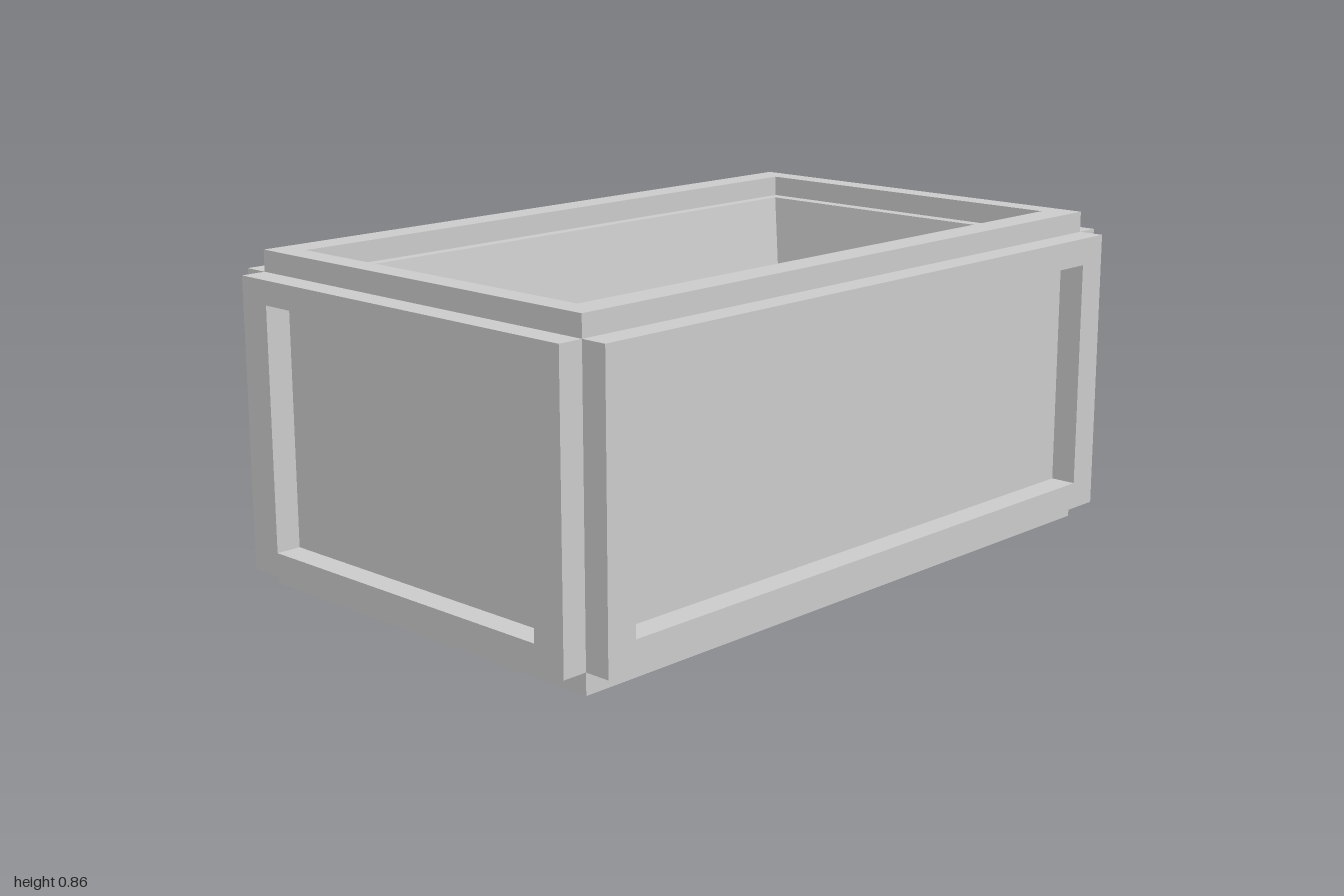
import * as THREE from 'three';

const material = new THREE.MeshStandardMaterial({ color: 0xcccccc, flatShading: true });

// Core body extents: half width, half depth, bottom and top
const HX = 0.933, HZ = 0.56, Y0 = 0.055, Y1 = 0.802;
const MID = (Y0 + Y1) / 2, HY = (Y1 - Y0) / 2;

function rect(path, hw, hh) {
  path.moveTo(-hw, -hh);
  path.lineTo(hw, -hh);
  path.lineTo(hw, hh);
  path.lineTo(-hw, hh);
  path.closePath();
  return path;
}

// Rectangular frame with a rectangular opening, facing +z from its origin
function frame(name, hw, hh, holeW, holeH, depth) {
  const shape = rect(new THREE.Shape(), hw, hh);
  shape.holes.push(rect(new THREE.Path(), holeW, holeH));
  const geometry = new THREE.ExtrudeGeometry(shape, { depth, bevelEnabled: false });
  const mesh = new THREE.Mesh(geometry, material);
  mesh.name = name;
  return mesh;
}

// Skin through rectangular sections [halfX, halfZ, y], capped at both ends
function rectLoft(sections) {
  const positions = [], index = [];
  for (const [x, z, y] of sections) {
    positions.push(-x, y, z, x, y, z, x, y, -z, -x, y, -z);
  }
  for (let s = 0; s < sections.length - 1; s++) {
    for (let i = 0; i < 4; i++) {
      const a = s * 4 + i, b = s * 4 + (i + 1) % 4;
      index.push(a, b, b + 4, a, b + 4, a + 4);
    }
  }
  const e = (sections.length - 1) * 4;
  index.push(0, 2, 1, 0, 3, 2, e, e + 1, e + 2, e, e + 2, e + 3);
  const indexed = new THREE.BufferGeometry();
  indexed.setAttribute('position', new THREE.Float32BufferAttribute(positions, 3));
  indexed.setIndex(index);
  const geometry = indexed.toNonIndexed();
  geometry.computeVertexNormals();
  return geometry;
}

export function createModel() {
  const group = new THREE.Group();
  group.name = 'openBox';

  // Hollow body: outer walls, top ledge, tapered cavity and floor
  const body = new THREE.Mesh(rectLoft([
    [HX, HZ, Y0],
    [HX, HZ, Y1],
    [0.83, 0.447, Y1],
    [0.77, 0.35, 0.13],
  ]), material);
  body.name = 'body';
  group.add(body);

  // Front and back frames
  for (const side of [1, -1]) {
    const f = frame(side > 0 ? 'frontFrame' : 'backFrame', HX, HY, 0.847, 0.302, 0.07);
    f.position.set(0, MID, side * HZ);
    f.rotation.y = side > 0 ? 0 : Math.PI;
    group.add(f);
  }

  // Left and right frames
  for (const side of [1, -1]) {
    const f = frame(side > 0 ? 'leftFrame' : 'rightFrame', HZ, HY, 0.467, 0.312, 0.067);
    f.position.set(side * HX, MID, 0);
    f.rotation.y = side * Math.PI / 2;
    group.add(f);
  }

  // Top rim and bottom frame
  for (const side of [1, -1]) {
    const f = frame(side > 0 ? 'topRim' : 'bottomFrame', HX, HZ, 0.867, 0.478, 0.055);
    f.position.y = side > 0 ? Y1 : Y0;
    f.rotation.x = -side * Math.PI / 2;
    group.add(f);
  }

  return group;
}
